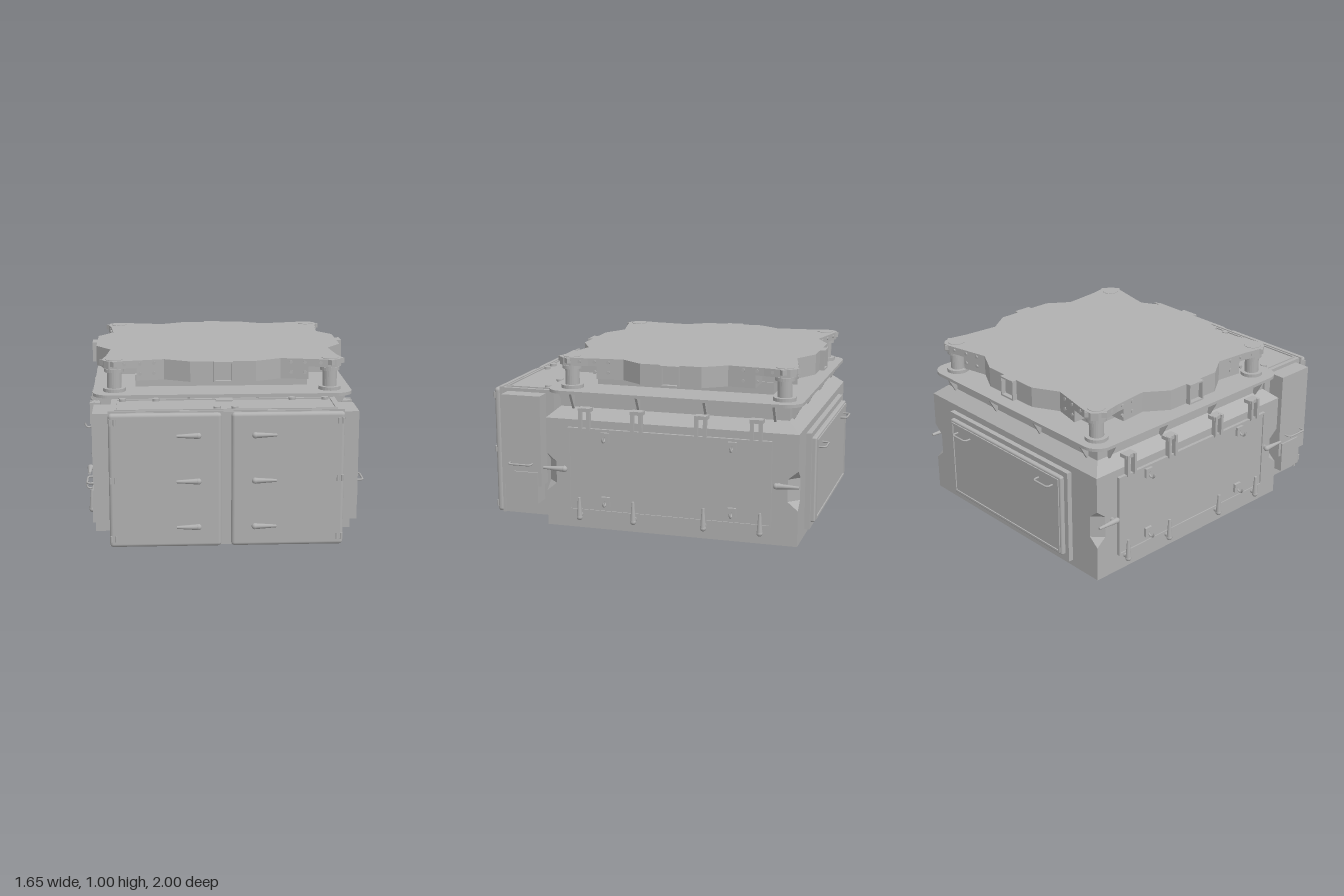
import * as THREE from 'three';
import { RoundedBoxGeometry } from 'three/addons/geometries/RoundedBoxGeometry.js';

const steel = new THREE.MeshStandardMaterial({ color: 0xb0b0b0 });
steel.name = 'greySteel';
const CZ = -0.16; // centre of the upper platform

function add(parent, name, geo, x = 0, y = 0, z = 0) {
  const m = new THREE.Mesh(geo, steel);
  m.name = name;
  m.position.set(x, y, z);
  parent.add(m);
  return m;
}
function box(parent, name, x0, x1, y0, y1, z0, z1) {
  return add(parent, name, new THREE.BoxGeometry(Math.abs(x1 - x0), y1 - y0, z1 - z0),
    (x0 + x1) / 2, (y0 + y1) / 2, (z0 + z1) / 2);
}
function rounded(parent, name, x0, x1, y0, y1, z0, z1, r) {
  return add(parent, name, new RoundedBoxGeometry(x1 - x0, y1 - y0, z1 - z0, 3, r),
    (x0 + x1) / 2, (y0 + y1) / 2, (z0 + z1) / 2);
}
// Horizontal slab from an x,z shape
function slab(shape, y0, y1) {
  return new THREE.ExtrudeGeometry(shape, { depth: y1 - y0, bevelEnabled: false, curveSegments: 6 })
    .rotateX(Math.PI / 2).translate(0, y1, 0);
}
// Repeat one quarter outline in all four quadrants
function mirroredShape(q) {
  const r = [...q].reverse();
  const pts = [...q, ...r.map(([x, z]) => [-x, z]), ...q.map(([x, z]) => [-x, -z]), ...r.map(([x, z]) => [x, -z])];
  return new THREE.Shape(pts.map(([x, z]) => new THREE.Vector2(x, z)));
}
function roundRect(hx, hz, r) {
  const s = new THREE.Shape();
  [[1, 1, 0], [-1, 1, 1], [-1, -1, 2], [1, -1, 3]].forEach(([sx, sz, k]) =>
    s.absarc(sx * (hx - r), sz * (hz - r), r, k * Math.PI / 2, (k + 1) * Math.PI / 2, false));
  return s;
}
// Rectangular frame facing +z
function frame(w, h, t, d) {
  const rect = (P, a, b) => new P([[-a, -b], [a, -b], [a, b], [-a, b]].map(p => new THREE.Vector2(...p)));
  const s = rect(THREE.Shape, w / 2, h / 2);
  s.holes.push(rect(THREE.Path, w / 2 - t, h / 2 - t));
  return new THREE.ExtrudeGeometry(s, { depth: d, bevelEnabled: false });
}
// Main housing: octagonal sections whose corner cut grows into notches
function housingGeometry() {
  const levels = [[0, 0, 0], [0.21, 0, 0], [0.26, 0.06, 0], [0.39, 0.06, 0], [0.44, 0, 0], [0.65, 0, 0], [0.71, 0, 0.07]];
  const loops = levels.map(([y, c, inset]) => {
    const a = 0.75 - inset, b = 0.75 - inset;
    return [[a, b - c], [a - c, b], [c - a, b], [-a, b - c], [-a, c - b], [c - a, -b], [a - c, -b], [a, c - b]]
      .map(([x, z]) => [x, y, z - 0.15]);
  });
  const pos = [];
  for (let i = 0; i < loops.length - 1; i++) for (let j = 0; j < 8; j++) {
    const k = (j + 1) % 8, a = loops[i][j], b = loops[i][k], c = loops[i + 1][k], d = loops[i + 1][j];
    pos.push(...a, ...d, ...c, ...a, ...c, ...b);
  }
  const lo = loops[0], hi = loops[loops.length - 1];
  for (let j = 1; j < 7; j++) pos.push(...lo[0], ...lo[j], ...lo[j + 1], ...hi[0], ...hi[j + 1], ...hi[j]);
  const g = new THREE.BufferGeometry();
  g.setAttribute('position', new THREE.Float32BufferAttribute(pos, 3));
  g.computeVertexNormals();
  return g;
}
// Tapered latch lever: wide end at the origin, thin end along local -y, outward is +z
function lever(parent, name, x, y, z, roll, len = 0.13) {
  const g = new THREE.Group();
  g.name = name;
  g.position.set(x, y, z);
  g.rotation.z = roll;
  parent.add(g);
  add(g, 'leverArm', new THREE.CylinderGeometry(0.017, 0.008, len, 10), 0, -len / 2, 0.022);
  add(g, 'leverKnob', new THREE.SphereGeometry(0.018, 10, 8), 0, 0, 0.022);
  add(g, 'leverFoot', new THREE.CylinderGeometry(0.013, 0.013, 0.03, 8).rotateX(Math.PI / 2), 0, -0.01, 0.008);
}
// U-shaped grab handle standing out along +z
function grab(parent, name, x, y, z, w, d) {
  const p = new THREE.CurvePath();
  const v = [[-w / 2, 0], [-w / 2, d - 0.012], [-w / 2 + 0.012, d], [w / 2 - 0.012, d], [w / 2, d - 0.012], [w / 2, 0]]
    .map(([a, b]) => new THREE.Vector3(a, 0, b));
  for (let i = 0; i < 5; i++) p.add(new THREE.LineCurve3(v[i], v[i + 1]));
  return add(parent, name, new THREE.TubeGeometry(p, 40, 0.006, 6), x, y, z);
}
function turned(parent, name, angle, x = 0, z = 0) {
  const g = new THREE.Group();
  g.name = name;
  g.position.set(x, 0, z);
  g.rotation.y = angle;
  parent.add(g);
  return g;
}

function buildSide(root, s) {
  const g = turned(root, s > 0 ? 'leftSide' : 'rightSide', s * Math.PI / 2);
  const X = z => -s * z;
  // Hatch with raised rim
  add(g, 'sideHatch', new THREE.BoxGeometry(1.21, 0.5, 0.012), X(-0.145), 0.355, 0.756);
  add(g, 'hatchRim', frame(1.21, 0.5, 0.012, 0.012), X(-0.145), 0.355, 0.757);
  // Hinge straps over the top edge
  for (const z of [0.355, 0.04, -0.34, -0.66]) {
    for (const d of [-0.025, 0.025]) add(g, 'hingeStrap', new THREE.BoxGeometry(0.018, 0.13, 0.03), X(z + d), 0.66, 0.765);
    add(g, 'hingeCap', new THREE.BoxGeometry(0.075, 0.022, 0.05), X(z), 0.713, 0.745);
  }
  // Clamping levers
  for (const z of [0.39, 0.06, -0.36, -0.69]) lever(g, 'bottomLatch', X(z), 0.07, 0.757, Math.PI, 0.12);
  lever(g, 'endLatch', X(0.48), 0.355, 0.757, -s * Math.PI / 2);
  lever(g, 'endLatch', X(-0.78), 0.355, 0.757, s * Math.PI / 2);
  // Tie-down pads with hooks
  for (const z of [0.23, -0.525]) for (const y of [0.56, 0.175]) {
    add(g, 'hookPad', new THREE.BoxGeometry(0.05, 0.055, 0.02), X(z), y, 0.768);
    add(g, 'hook', new THREE.TorusGeometry(0.022, 0.006, 6, 12, Math.PI * 1.2)
      .rotateZ(Math.PI * 0.9).rotateY(Math.PI / 2), X(z), y, 0.795);
  }
  // Side pack on the front cabinet
  box(root, 'sidePack', s * 0.64, s * 0.745, 0.225, 0.77, 0.64, 0.88);
  box(root, 'sidePackLower', s * 0.64, s * 0.755, 0.12, 0.31, 0.66, 0.81);
  grab(g, 'sideHandle', X(0.765), 0.36, 0.743, 0.14, 0.04);
}

export function createModel() {
  const root = new THREE.Group();
  root.name = 'equipmentHousing';

  // Housing, neck, gussets and flange
  add(root, 'housing', housingGeometry());
  box(root, 'neck', -0.68, 0.68, 0.7, 0.8, -0.83, 0.53);
  add(root, 'flange', slab(roundRect(0.755, 0.755, 0.1), 0.797, 0.815), 0, 0, -0.15);
  const gusset = new THREE.ExtrudeGeometry(new THREE.Shape([[0.66, 0.7], [0.69, 0.7], [0.745, 0.798], [0.66, 0.798]]
    .map(p => new THREE.Vector2(...p))), { depth: 0.014, bevelEnabled: false }).translate(0, 0, -0.007);
  for (let k = 0; k < 4; k++) {
    const g = turned(root, 'gussetRow', k * Math.PI / 2, 0, -0.15);
    for (const t of [-0.6, -0.2, 0.2, 0.6]) add(g, 'gusset', gusset, 0, 0, t);
  }

  // Upper platform
  const top = [[0.75, 0.18], [0.66, 0.31], [0.68, 0.52], [0.7, 0.62], [0.69, 0.67], [0.66, 0.7],
    [0.61, 0.7], [0.52, 0.68], [0.34, 0.64], [0.19, 0.72]];
  const low = [[0.75, 0.18], [0.66, 0.31], [0.675, 0.47], [0.5, 0.47], [0.5, 0.675], [0.34, 0.64], [0.19, 0.72]];
  add(root, 'platformTop', slab(mirroredShape(top), 0.955, 1), 0, 0, CZ);
  add(root, 'platformBody', slab(mirroredShape(low), 0.88, 0.955), 0, 0, CZ);
  box(root, 'platformCore', -0.51, 0.51, 0.81, 0.885, -0.7, 0.36);
  for (let k = 0; k < 4; k++) {
    const g = turned(root, 'platformEdge', k * Math.PI / 2, 0, CZ);
    const face = k % 2 ? 0.75 : 0.72;
    add(g, 'socket', frame(0.11, 0.12, 0.009, 0.03), 0, 0.94, face - 0.001);
    // Fastener heads along the arms
    for (const s of [-1, 1]) for (const [x, y] of [[0.4, 0.98], [0.48, 0.98], [0.4, 0.92], [0.48, 0.92], [0.57, 0.98]]) {
      const z = k % 2 ? 0.66 + (x - 0.31) * 0.1 : 0.64 + (x - 0.34) * 0.222;
      add(g, 'fastener', new THREE.CylinderGeometry(0.01, 0.01, 0.012, 8).rotateX(Math.PI / 2), s * x, y, z);
    }
  }

  // Corner posts
  const profile = [[0, 0.81], [0.066, 0.81], [0.066, 0.835], [0.042, 0.835], [0.042, 0.93], [0.058, 0.93],
    [0.058, 0.95], [0.05, 0.95], [0.05, 1.003], [0, 1.003]];
  const postGeo = new THREE.LatheGeometry(profile.map(p => new THREE.Vector2(...p)), 24).toNonIndexed();
  postGeo.computeVertexNormals();
  for (const x of [-0.63, 0.63]) for (const z of [-0.79, 0.475]) {
    add(root, 'cornerPost', postGeo, x, 0, z);
    add(root, 'postCapPlate', new THREE.BoxGeometry(0.12, 0.03, 0.12).rotateY(Math.PI / 4), x, 0.984, z);
  }

  // Front cabinet
  box(root, 'frontCabinet', -0.645, 0.645, 0.02, 0.79, 0.59, 0.935);
  box(root, 'cabinetSeal', -0.655, 0.655, 0.02, 0.795, 0.915, 0.93);
  rounded(root, 'rightDoor', -0.655, -0.03, 0.02, 0.788, 0.925, 0.968, 0.02);
  rounded(root, 'leftDoor', 0.025, 0.655, 0.02, 0.788, 0.925, 0.968, 0.02);
  for (const y of [0.665, 0.405, 0.14]) {
    lever(root, 'doorHandle', -0.16, y, 0.962, -Math.PI / 2, 0.12);
    lever(root, 'doorHandle', 0.155, y, 0.962, Math.PI / 2, 0.12);
  }
  for (const s of [-1, 1]) for (const y of [0.74, 0.41, 0.07]) for (const x of [0.62, 0.645])
    add(root, 'doorHinge', new THREE.CylinderGeometry(0.008, 0.008, 0.035, 8), s * x, y, 0.966);
  // Cabinet lid with bolts
  add(root, 'cabinetLid', frame(1.24, 0.27, 0.01, 0.008).rotateX(-Math.PI / 2), 0, 0.789, 0.765);
  box(root, 'lidTab', -0.05, 0.05, 0.785, 0.798, 0.62, 0.68);
  for (const [x, z] of [[0.58, 0.65], [0.39, 0.65], [0.05, 0.87]]) for (const s of [-1, 1])
    add(root, 'lidBolt', new THREE.CylinderGeometry(0.02, 0.02, 0.016, 12), s * x, 0.797, z);

  buildSide(root, 1);
  buildSide(root, -1);

  // Rear access panel
  box(root, 'rearPanelBase', -0.54, 0.54, 0.04, 0.61, -0.93, -0.89);
  rounded(root, 'rearPanel', -0.51, 0.51, 0.075, 0.58, -0.955, -0.92, 0.01);
  const rear = turned(root, 'rearFittings', Math.PI);
  add(rear, 'rearRim', frame(0.99, 0.475, 0.012, 0.008), 0, 0.328, 0.954);
  for (const x of [-0.38, 0.38]) grab(rear, 'rearHandle', x, 0.51, 0.953, 0.12, 0.042);
  return root;
}
